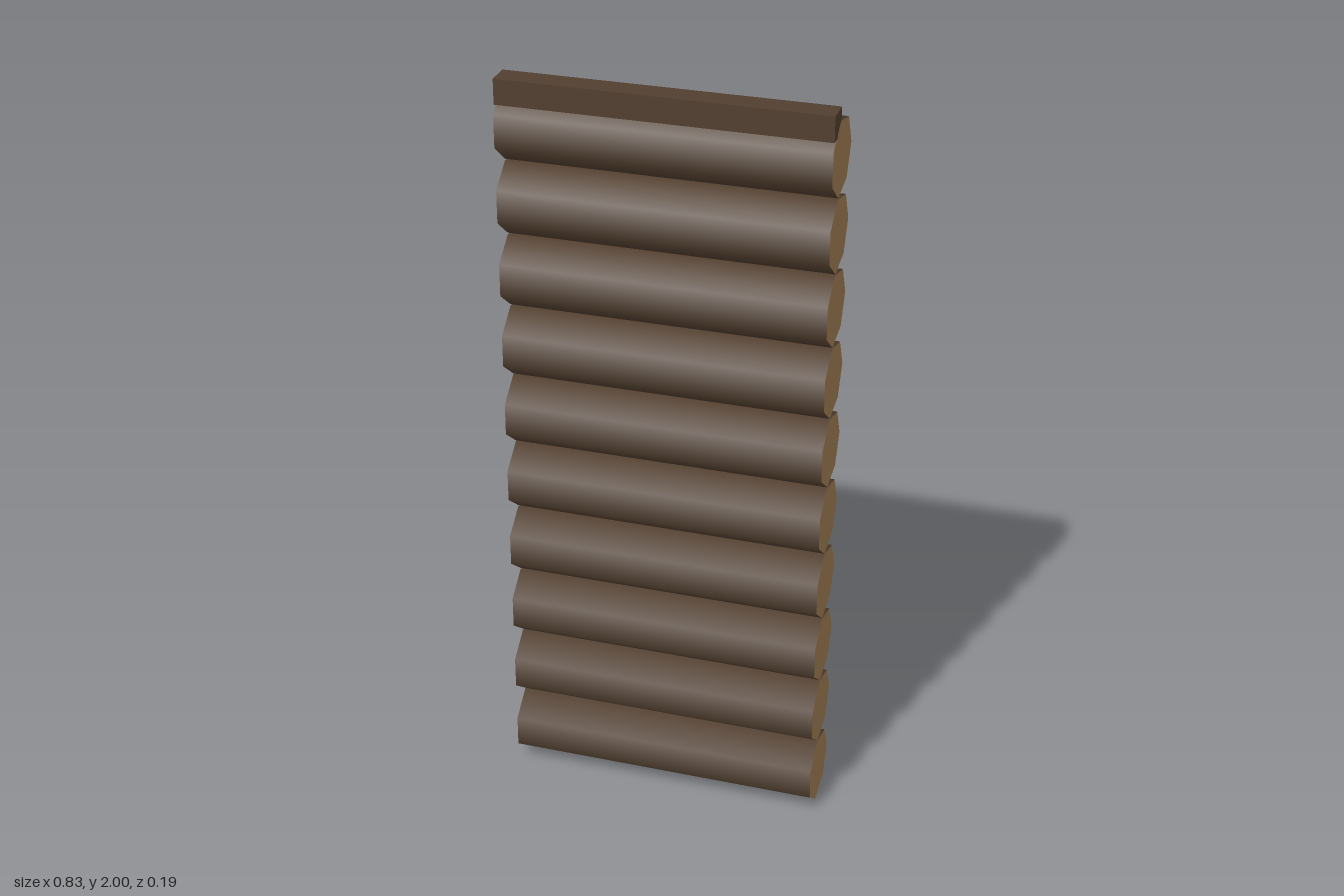
import * as THREE from 'three';

const LOGS = 10;
const LENGTH = 0.834;
const RADIUS = 0.099;
const PITCH = 0.197;

export function createModel() {
  const wall = new THREE.Group();
  wall.name = 'logWall';

  const bark = new THREE.MeshStandardMaterial({ color: 0x523f2f });
  bark.name = 'bark';
  const cutWood = new THREE.MeshStandardMaterial({ color: 0xa07c52 });
  cutWood.name = 'cutWood';

  // Seven-sided log lying along x: one edge points back, one flat faces front
  const logGeometry = new THREE.CylinderGeometry(RADIUS, RADIUS, LENGTH, 7, 1, false, Math.PI);
  logGeometry.rotateZ(Math.PI / 2);

  // Stack of logs with pale cut ends
  for (let i = 0; i < LOGS; i++) {
    const log = new THREE.Mesh(logGeometry, [bark, cutWood, cutWood]);
    log.name = `log${i + 1}`;
    log.position.set(0, 0.0965 + i * PITCH, 0.0045);
    wall.add(log);
  }

  // Square rail along the top front edge
  const rail = new THREE.Mesh(new THREE.BoxGeometry(LENGTH, 0.065, 0.066), bark);
  rail.name = 'topRail';
  rail.position.set(0, 1.9675, 0.054);
  wall.add(rail);

  return wall;
}
